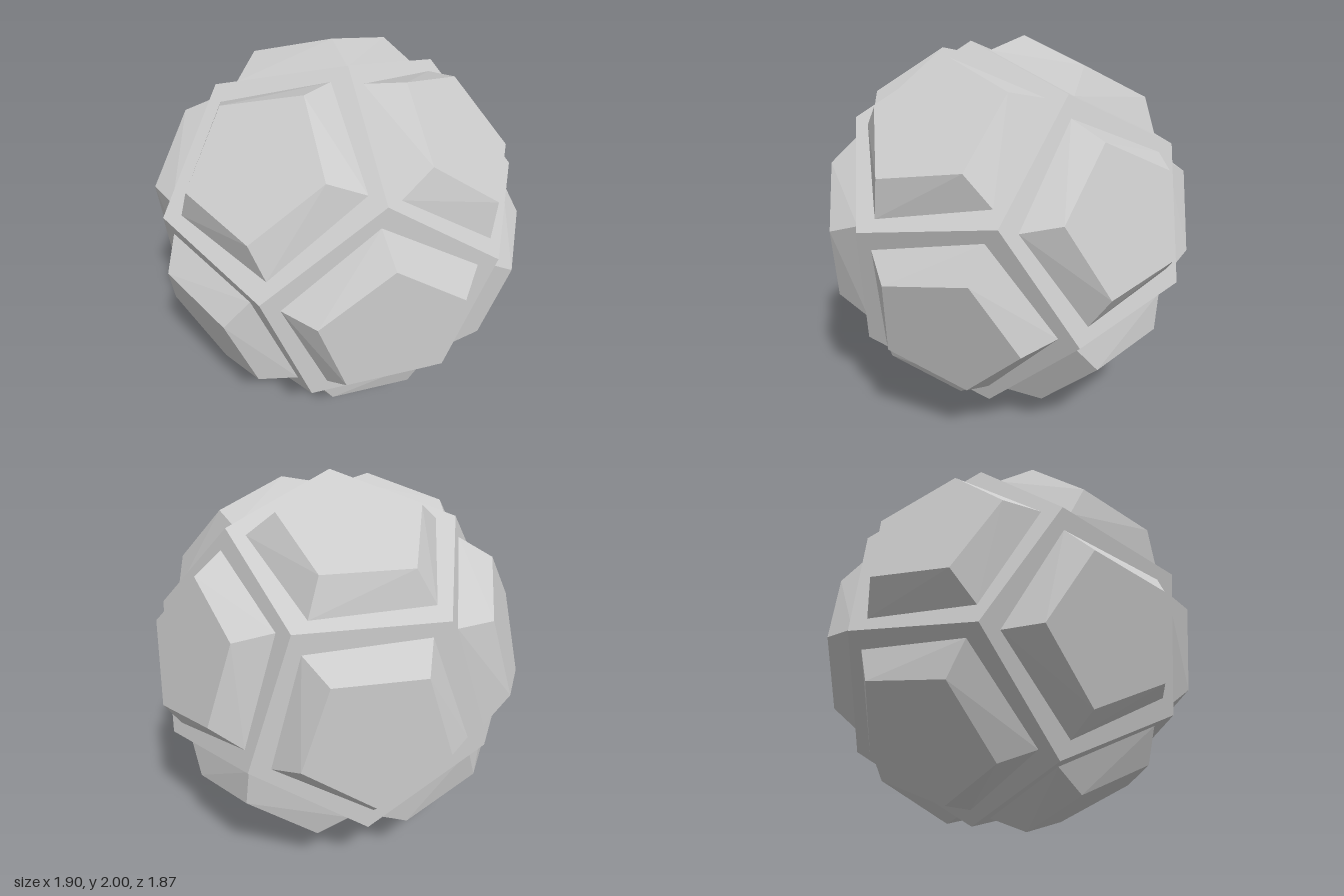
import * as THREE from 'three';

const CORE = 0.79;        // centre to core face
const OUTER = 0.935;      // centre to raised panel face
const TOP_R = 0.367;      // panel corner radius, outer
const BASE_R = 0.5;       // panel corner radius, at the core
const TWIST = 0.05;       // slight turn of the panel base

// Five-sided tapered panel whose base is turned against its top; axis +y, corner at +z
function panelGeometry() {
  const geo = new THREE.CylinderGeometry(TOP_R, BASE_R, OUTER - CORE, 5);
  const pos = geo.attributes.position;
  const v = new THREE.Vector3();
  const up = new THREE.Vector3(0, 1, 0);
  for (let i = 0; i < pos.count; i++) {
    v.fromBufferAttribute(pos, i);
    if (v.y < 0) v.applyAxisAngle(up, TWIST);
    pos.setXYZ(i, v.x, v.y, v.z);
  }
  geo.translate(0, (CORE + OUTER) / 2, 0);
  return geo;
}

export function createModel() {
  const model = new THREE.Group();
  model.name = 'panelledDodecahedron';
  const body = new THREE.Group();
  body.name = 'body';
  body.position.y = 1;
  model.add(body);
  const material = new THREE.MeshStandardMaterial({ color: 0xcccccc, flatShading: true });

  // Core solid, turned so one face looks to the front with a corner upwards
  const coreGeo = new THREE.DodecahedronGeometry(CORE / 0.79465);
  coreGeo.rotateY(-Math.atan(2 / (1 + Math.sqrt(5))));
  coreGeo.rotateZ(Math.PI / 2);
  const core = new THREE.Mesh(coreGeo, material);
  core.name = 'core';
  body.add(core);

  // Face directions: the front face and its five neighbours, each with one corner direction
  const faces = [[new THREE.Vector3(0, 0, 1), new THREE.Vector3(0, 1, 0)]];
  const c = 1 / Math.sqrt(5), s = 2 / Math.sqrt(5);
  for (let k = 0; k < 5; k++) {
    const a = -Math.PI / 2 + (k * Math.PI * 2) / 5;
    faces.push([
      new THREE.Vector3(s * Math.cos(a), s * Math.sin(a), c),
      new THREE.Vector3(c * Math.cos(a), c * Math.sin(a), -s),
    ]);
  }

  // One raised panel on each face and on the opposite face
  const panelGeo = panelGeometry();
  for (const [normal, corner] of faces) {
    for (const sign of [1, -1]) {
      const y = normal.clone().multiplyScalar(sign);
      const z = corner.clone().multiplyScalar(sign);
      const x = new THREE.Vector3().crossVectors(y, z);
      const panel = new THREE.Mesh(panelGeo, material);
      panel.name = 'raisedPanel';
      panel.quaternion.setFromRotationMatrix(new THREE.Matrix4().makeBasis(x, y, z));
      body.add(panel);
    }
  }
  return model;
}
